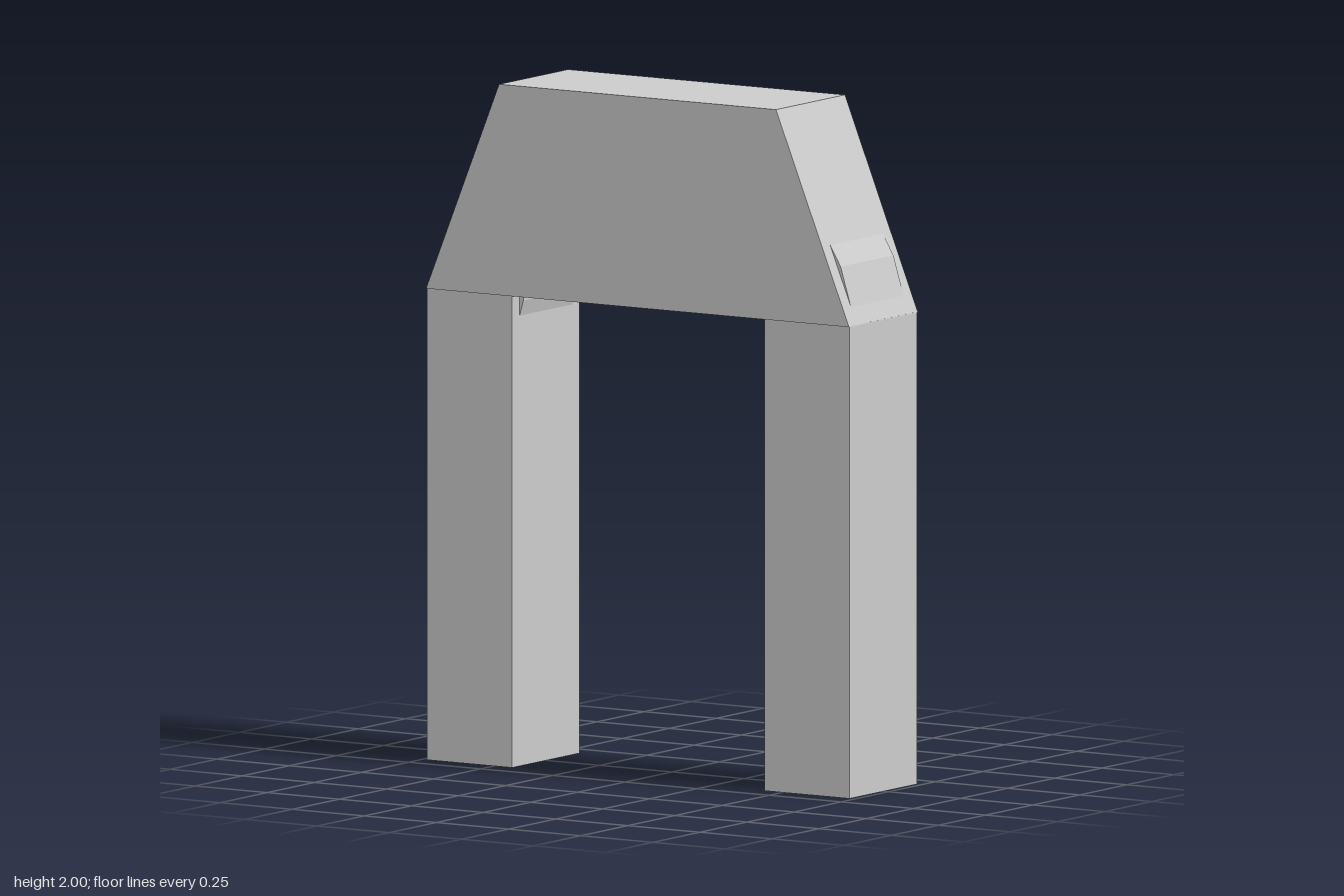
import * as THREE from 'three';

const material = new THREE.MeshStandardMaterial({ color: 0xcccccc, flatShading: true });

// Extrudes an x-y outline symmetrically about z = 0; side = -1 mirrors it in x.
function prism(name, outline, depth, side = 1) {
  const shape = new THREE.Shape(outline.map(([x, y]) => new THREE.Vector2(side * x, y)));
  const geometry = new THREE.ExtrudeGeometry(shape, { depth, bevelEnabled: false });
  geometry.translate(0, 0, -depth / 2);
  const mesh = new THREE.Mesh(geometry, material);
  mesh.name = name;
  return mesh;
}

export function createModel() {
  const model = new THREE.Group();
  model.name = 'arch';

  // Tapered beam across the top
  model.add(prism('beam', [[-0.733, 1.382], [0.733, 1.382], [0.48, 2], [-0.48, 2]], 0.366));

  for (const side of [1, -1]) {
    const label = side > 0 ? 'left' : 'right';

    // Square post
    const leg = new THREE.Mesh(new THREE.BoxGeometry(0.295, 1.384, 0.358), material);
    leg.name = label + 'Leg';
    leg.position.set(side * 0.585, 0.692, 0);
    model.add(leg);

    // Shallow ridge on the sloping shoulder
    model.add(prism(label + 'ShoulderRidge',
      [[0.64, 1.61], [0.64, 1.43], [0.716, 1.42], [0.676, 1.55]], 0.28, side));

    // Small ridge at the inner top of the post
    model.add(prism(label + 'InnerRidge',
      [[0.45, 1.384], [0.45, 1.32], [0.437, 1.32], [0.424, 1.365], [0.424, 1.384]], 0.28, side));
  }
  return model;
}
